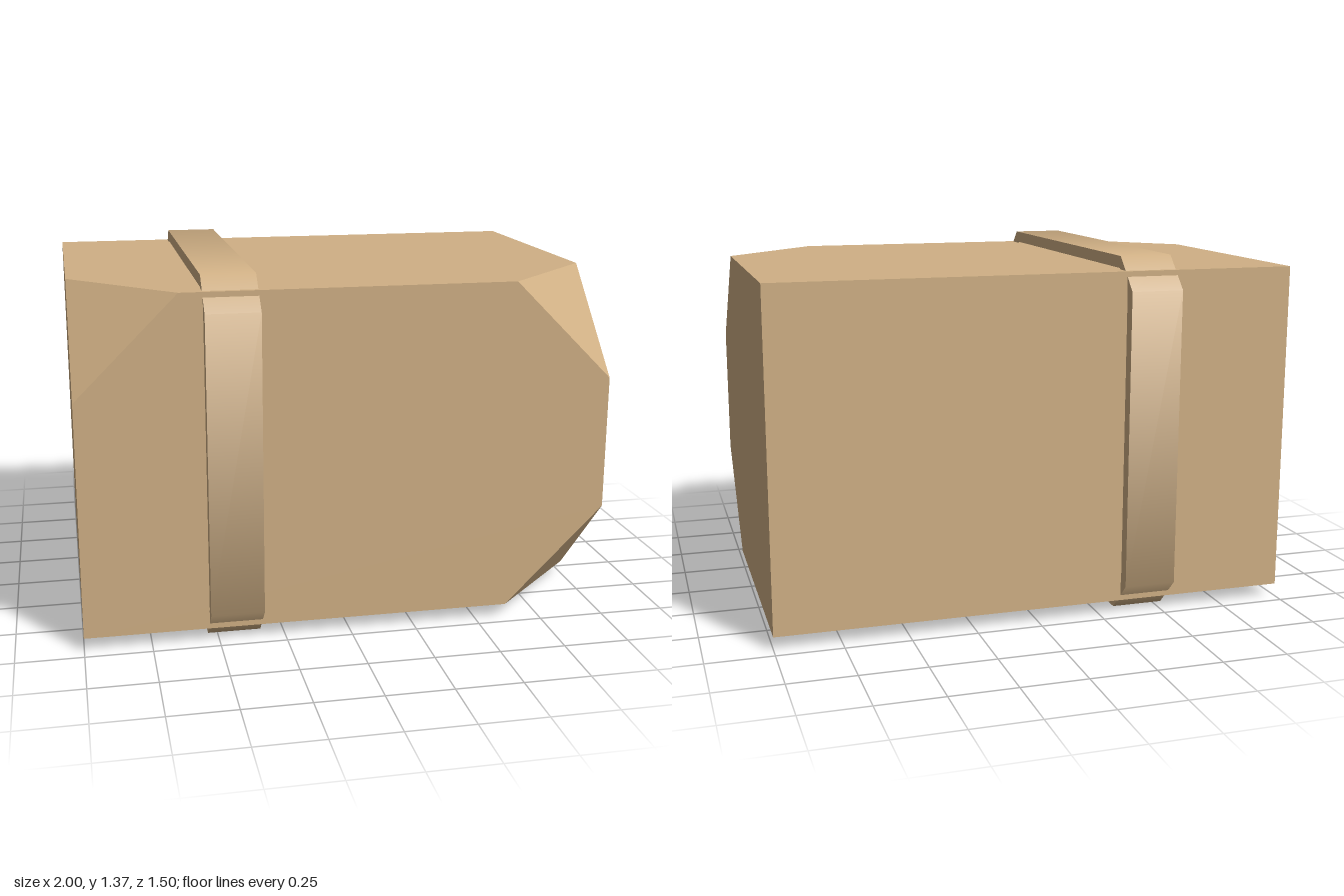
import * as THREE from 'three';
import { ConvexGeometry } from 'three/addons/geometries/ConvexGeometry.js';

const HALF = { x: 1, y: 0.635, z: 0.7 };
const CENTRE_Y = 0.685;
const CUT = 0.38;

// Block with three of its front corners sliced off
function blockGeometry() {
  const points = [];
  for (const sx of [-1, 1]) for (const sy of [-1, 1]) for (const sz of [-1, 1]) {
    const corner = new THREE.Vector3(sx * HALF.x, sy * HALF.y, sz * HALF.z);
    const isCut = sz > 0 && (sx > 0 || sy > 0);
    if (!isCut) {
      points.push(corner);
      continue;
    }
    points.push(
      corner.clone().setX(sx * (HALF.x - CUT)),
      corner.clone().setY(sy * (HALF.y - CUT)),
      corner.clone().setZ(sz * (HALF.z - CUT))
    );
  }
  return new ConvexGeometry(points);
}

// Rectangle outline with chamfered corners
function chamferedOutline(w, h, c) {
  return [
    [w - c, -h], [w, c - h], [w, h - c], [w - c, h],
    [c - w, h], [-w, h - c], [-w, c - h], [c - w, -h],
  ].map(([x, y]) => new THREE.Vector2(x, y));
}

// Hollow band, smooth around the loop and sharp at its rims
function strapGeometry(width) {
  const shape = new THREE.Shape(chamferedOutline(0.75, 0.685, 0.12));
  shape.holes.push(new THREE.Path(chamferedOutline(0.704, 0.64, 0.08)));
  const geometry = new THREE.ExtrudeGeometry(shape, { depth: width, bevelEnabled: false });
  const pos = geometry.attributes.position;
  const normal = geometry.attributes.normal;
  const major = Math.cos(Math.PI / 8), minor = Math.sin(Math.PI / 8);
  for (let i = 0; i < pos.count; i++) {
    if (Math.abs(normal.getZ(i)) > 0.5) continue;
    const x = pos.getX(i), y = pos.getY(i);
    const facing = Math.sign(normal.getX(i) * x + normal.getY(i) * y);
    const nearTopOrBottom = Math.abs(y) > 0.6;
    normal.setXYZ(
      i,
      facing * Math.sign(x) * (nearTopOrBottom ? minor : major),
      facing * Math.sign(y) * (nearTopOrBottom ? major : minor),
      0
    );
  }
  return geometry.rotateY(Math.PI / 2).translate(-width / 2, 0, 0);
}

export function createModel() {
  const model = new THREE.Group();
  model.name = 'strappedBlock';
  const tan = new THREE.MeshStandardMaterial({ color: 0xd0b085 });
  tan.name = 'tan';

  const block = new THREE.Mesh(blockGeometry(), tan);
  block.name = 'block';
  block.position.y = CENTRE_Y;

  const strap = new THREE.Mesh(strapGeometry(0.2), tan);
  strap.name = 'strap';
  strap.position.set(-0.435, CENTRE_Y, 0);

  model.add(block, strap);
  return model;
}
